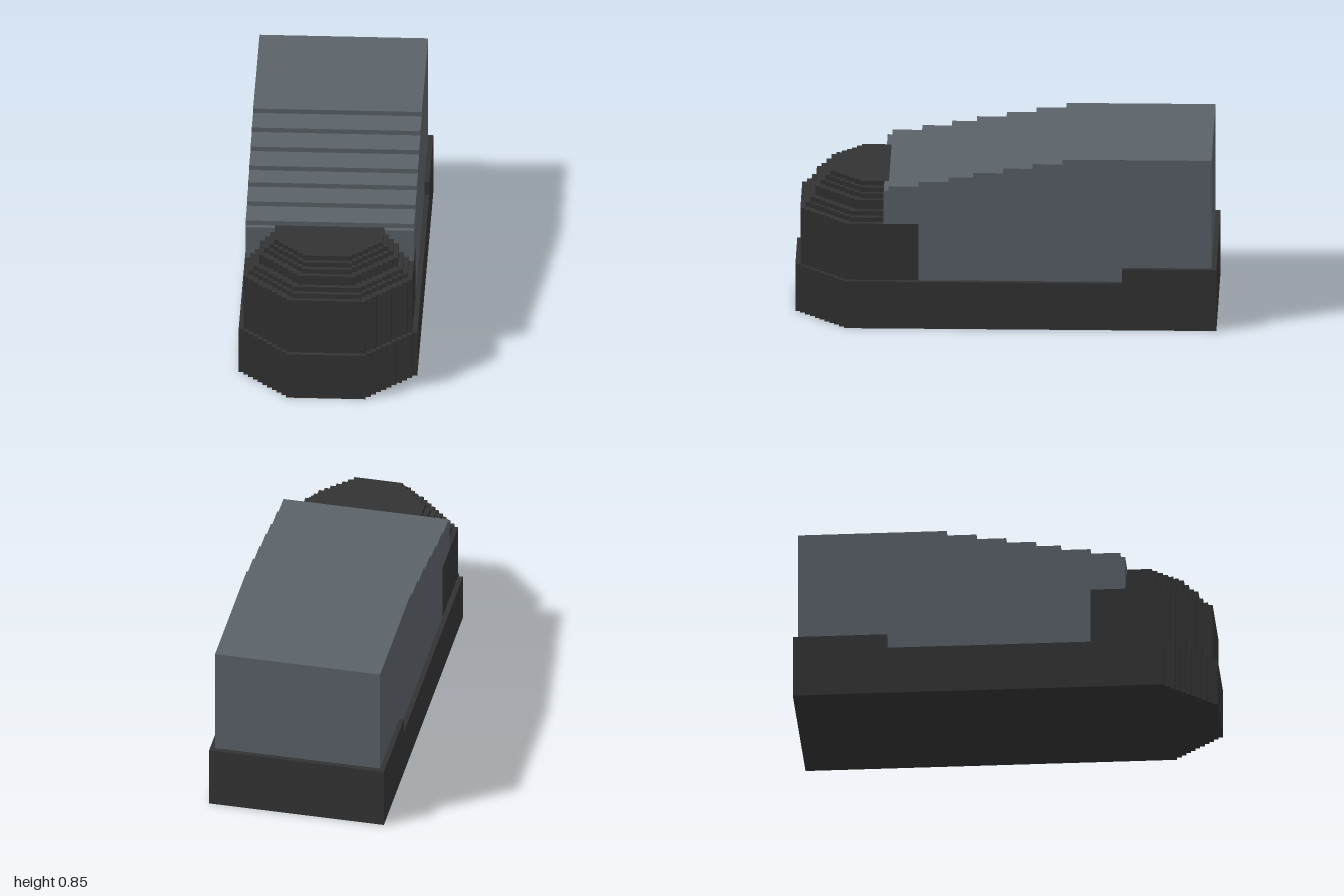
import * as THREE from 'three';

// All dimensions are in block units; the model is 85 blocks long.
const U = 2 / 85;

export function createModel() {
  const model = new THREE.Group();
  const black = new THREE.MeshStandardMaterial({ color: 0x333333 });
  black.name = 'charcoal';
  const grey = new THREE.MeshStandardMaterial({ color: 0x5a6168 });
  grey.name = 'slate grey';

  function add(name, geometry, material) {
    const mesh = new THREE.Mesh(geometry, material);
    mesh.name = name;
    model.add(mesh);
  }

  // Slab with a stepped, tapering nose. Rows are counted back from the front.
  function nosedSlab(name, front, back, noseHalf, maxHalf, y0, y1) {
    const right = [];
    let row = front;
    for (let half = noseHalf; half < maxHalf; half++, row++) {
      right.push([half, row], [half, row + 1]);
    }
    right.push([maxHalf, row], [maxHalf, back]);
    const left = right.map(([x, k]) => [-x, k]).reverse();
    const points = [...right, ...left].map(([x, k]) => new THREE.Vector2(x * U, k * U - 1));
    const geometry = new THREE.ExtrudeGeometry(new THREE.Shape(points), { depth: (y1 - y0) * U, bevelEnabled: false });
    geometry.rotateX(-Math.PI / 2);
    geometry.translate(0, y0 * U, 0);
    add(name, geometry, black);
  }

  // Box given by x, y and row ranges
  function block(name, x0, x1, y0, y1, k0, k1, material) {
    const geometry = new THREE.BoxGeometry((x1 - x0) * U, (y1 - y0) * U, (k1 - k0) * U);
    geometry.translate((x0 + x1) / 2 * U, (y0 + y1) / 2 * U, 1 - (k0 + k1) / 2 * U);
    add(name, geometry, material);
  }

  // Skirted base with a raised rear section
  nosedSlab('base', 0, 85, 8, 18, 0, 10);
  block('rearSkirt', -18, 18, 10, 13, 66, 85, black);

  // Front cab wall and its stepped roof
  nosedSlab('cab', 1, 25, 8, 17, 10, 22);
  const roof = [[2, 7], [3, 7], [4, 6], [4, 6], [5, 5], [6, 5], [7, 5]];
  roof.forEach(([inset, noseHalf], i) => {
    nosedSlab('cabRoof' + (i + 1), inset, i === 6 ? 19 : 18, noseHalf, 18 - inset, 22 + i, 23 + i);
  });

  // Main body: side profile with a stair-stepped roof rising to the back
  const profile = [[84, 10], [25, 10], [25, 22], [19, 22]];
  const steps = [19, 25, 31, 36, 42, 48, 54, 84];
  for (let i = 0; i < 7; i++) profile.push([steps[i], 30 + i], [steps[i + 1], 30 + i]);
  const shape = new THREE.Shape(profile.map(([k, y]) => new THREE.Vector2(1 - k * U, y * U)));
  const body = new THREE.ExtrudeGeometry(shape, { depth: 34 * U, bevelEnabled: false });
  body.rotateY(-Math.PI / 2);
  body.translate(17 * U, 0, 0);
  add('body', body, grey);

  // Body shoulders either side of the cab roof
  for (const [name, x] of [['rightShoulder', -17], ['leftShoulder', 11]]) {
    block(name, x, x + 6, 22, 29, 18, 19, grey);
  }
  return model;
}
